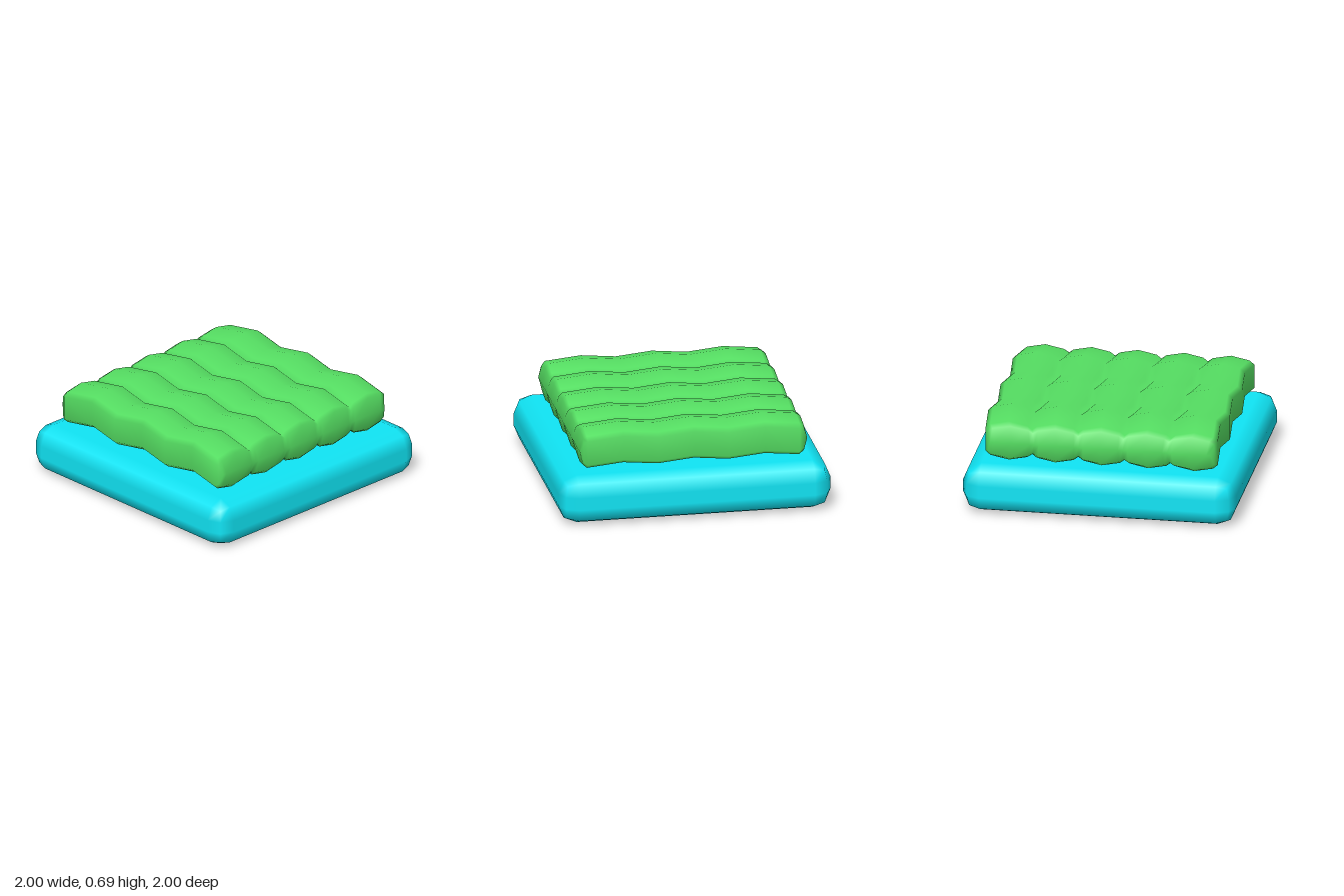
import * as THREE from 'three';
import { RoundedBoxGeometry } from 'three/addons/geometries/RoundedBoxGeometry.js';
import { mergeVertices } from 'three/addons/utils/BufferGeometryUtils.js';

const MID_Y = 0.512;

// Scalloped cross-section of five puffs, counter-clockwise, y relative to MID_Y
function puffedProfile() {
  const upper = [[-0.85, 0.09]];
  for (let i = 0; i < 5; i++) {
    const x = (i - 2) * 0.34;
    upper.push([x - 0.135, 0.12], [x, 0.148], [x + 0.135, 0.12]);
    if (i < 4) upper.push([x + 0.17, 0.093]);
  }
  upper.push([0.85, 0.09]);
  const lower = upper.map(([x, y]) => [x, -y]);
  return [...lower, ...upper.reverse()];
}

// Sweep the section along z, each ring nudged sideways and up in turn
function quiltGeometry() {
  const profile = puffedProfile();
  const n = profile.length;
  const rings = [
    { z: -0.84, sx: 0.95, sy: 0, shift: 0 },
    { z: -0.815, sx: 0.975, sy: 0.83, shift: 0 },
  ];
  for (let k = -3; k <= 3; k++) {
    rings.push({ z: k * 0.26, sx: 1, sy: 1, shift: k % 2 === 0 ? 1 : 0 });
  }
  rings.push(
    { z: 0.805, sx: 0.975, sy: 0.83, shift: 0 },
    { z: 0.83, sx: 0.95, sy: 0, shift: 0 },
  );

  const positions = [];
  const index = [];
  rings.forEach(({ z, sx, sy, shift }, k) => {
    profile.forEach(([x, y], i) => {
      positions.push(x * sx + 0.025 * shift, MID_Y + y * sy + 0.035 * shift, z);
      if (k === rings.length - 1) return;
      const j = (i + 1) % n;
      const a = k * n + i, b = k * n + j;
      index.push(a, b, b + n, a, b + n, a + n);
    });
  });
  const geometry = new THREE.BufferGeometry();
  geometry.setAttribute('position', new THREE.Float32BufferAttribute(positions, 3));
  geometry.setIndex(index);
  const merged = mergeVertices(geometry);
  merged.computeVertexNormals();
  return merged;
}

export function createModel() {
  const model = new THREE.Group();
  model.name = 'cushionStack';

  // Rounded lower cushion
  const base = new THREE.Mesh(
    new RoundedBoxGeometry(2, 0.36, 2, 1, 0.135),
    new THREE.MeshStandardMaterial({ color: 0x10e5f5 }),
  );
  base.name = 'baseCushion';
  base.position.y = 0.18;

  // Wavy, puffed upper pad
  const pad = new THREE.Mesh(
    quiltGeometry(),
    new THREE.MeshStandardMaterial({ color: 0x55de62 }),
  );
  pad.name = 'puffedPad';

  model.add(base, pad);
  return model;
}
